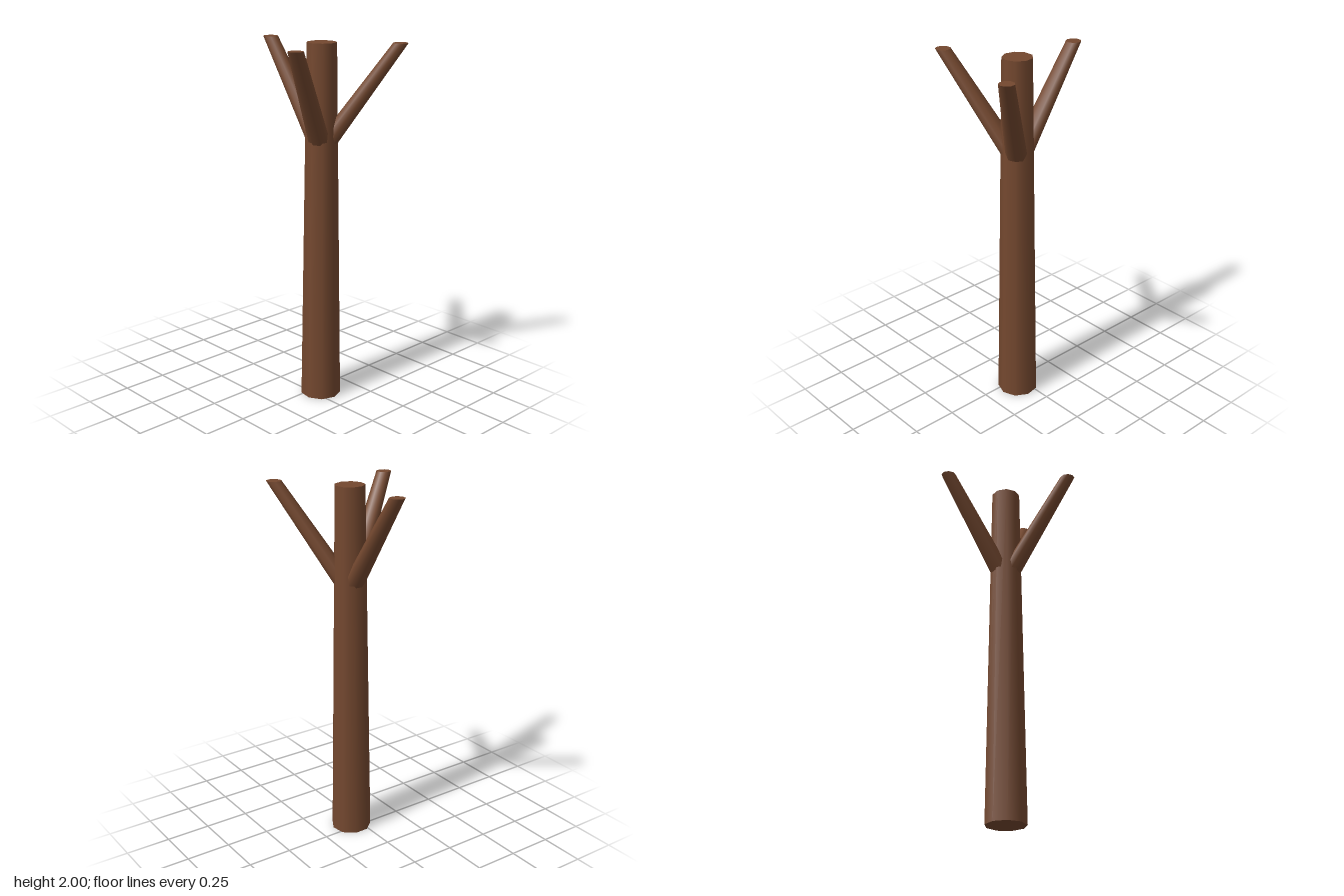
import * as THREE from 'three';

const SIDES = 9;

// Tapered limb with level end caps, leaning from one centre point to another
function limb(name, from, to, rBottom, rTop, material) {
  const height = to.y - from.y;
  const geometry = new THREE.CylinderGeometry(rTop, rBottom, height, SIDES);
  geometry.rotateY(Math.PI / 2); // a corner points to +x
  geometry.translate(0, height / 2, 0);
  const lean = new THREE.Matrix4().makeBasis(
    new THREE.Vector3(1, 0, 0),
    new THREE.Vector3((to.x - from.x) / height, 1, (to.z - from.z) / height),
    new THREE.Vector3(0, 0, 1)
  );
  geometry.applyMatrix4(lean);
  const mesh = new THREE.Mesh(geometry, material);
  mesh.name = name;
  mesh.position.copy(from);
  return mesh;
}

export function createModel() {
  const group = new THREE.Group();
  group.name = 'bareTree';
  const bark = new THREE.MeshStandardMaterial({ color: 0x74482f });
  bark.name = 'bark brown';

  // Trunk
  const base = new THREE.Vector3(0.043, 0, -0.048);
  const top = new THREE.Vector3(0.043, 2, -0.047);
  group.add(limb('trunk', base, top, 0.113, 0.081, bark));

  // Three branches growing from the trunk's core
  const branches = [
    ['rightBranch', -0.355, -0.043],
    ['backLeftBranch', 0.353, -0.316],
    ['frontLeftBranch', 0.233, 0.312],
  ];
  for (const [name, x, z] of branches) {
    const fork = new THREE.Vector3(0.043, 1.425, -0.048);
    group.add(limb(name, fork, new THREE.Vector3(x, 2, z), 0.061, 0.041, bark));
  }
  return group;
}
